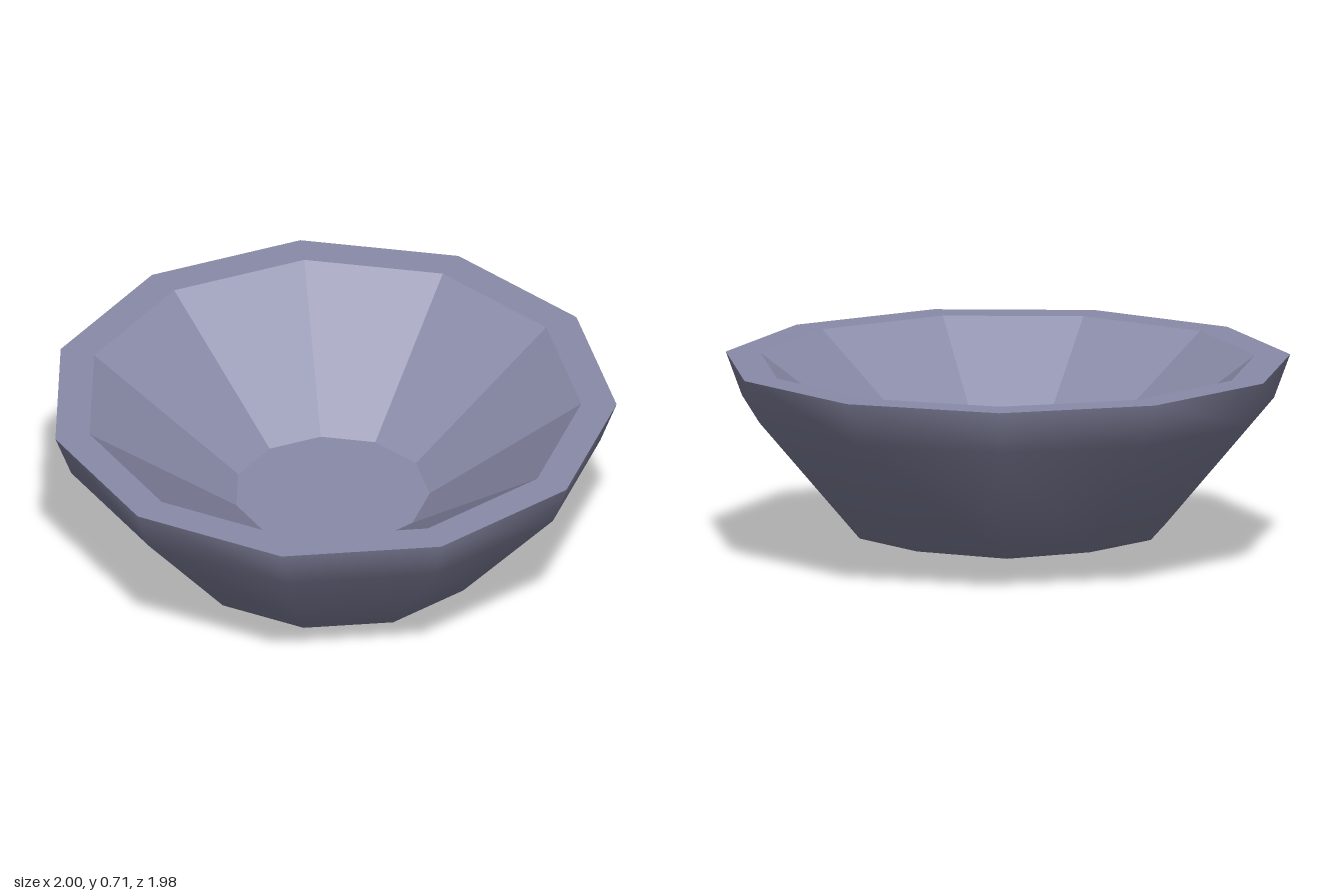
import * as THREE from 'three';

const SIDES = 11;
const RIM_Y = 0.715;

// Eleven-sided turned surface from [radius, height] pairs
function turned(name, profile, material, faceted) {
  const points = profile.map(([r, y]) => new THREE.Vector2(r, y));
  let geometry = new THREE.LatheGeometry(points, SIDES);
  if (faceted) {
    geometry = geometry.toNonIndexed();
    geometry.computeVertexNormals();
  }
  const mesh = new THREE.Mesh(geometry, material);
  mesh.name = name;
  return mesh;
}

export function createModel() {
  const model = new THREE.Group();
  model.name = 'bowl';

  const glaze = new THREE.MeshStandardMaterial({ color: 0x8a8ba8 });
  glaze.name = 'greyViolet';

  const bowl = new THREE.Group();
  bowl.name = 'bowlBody';
  bowl.position.z = -0.02; // an odd number of sides sits off centre
  bowl.add(
    // smooth outside with a shallow pointed base
    turned('outerShell', [[0, 0], [0.567, 0.115], [0.952, 0.56], [1.01, RIM_Y]], glaze, false),
    // flat ring on top
    turned('rim', [[1.01, RIM_Y], [0.885, RIM_Y]], glaze, true),
    // faceted hollow and its flat floor
    turned('innerWall', [[0.885, RIM_Y], [0.348, 0.32]], glaze, true),
    turned('innerFloor', [[0.348, 0.32], [0, 0.32]], glaze, true)
  );
  model.add(bowl);
  return model;
}
